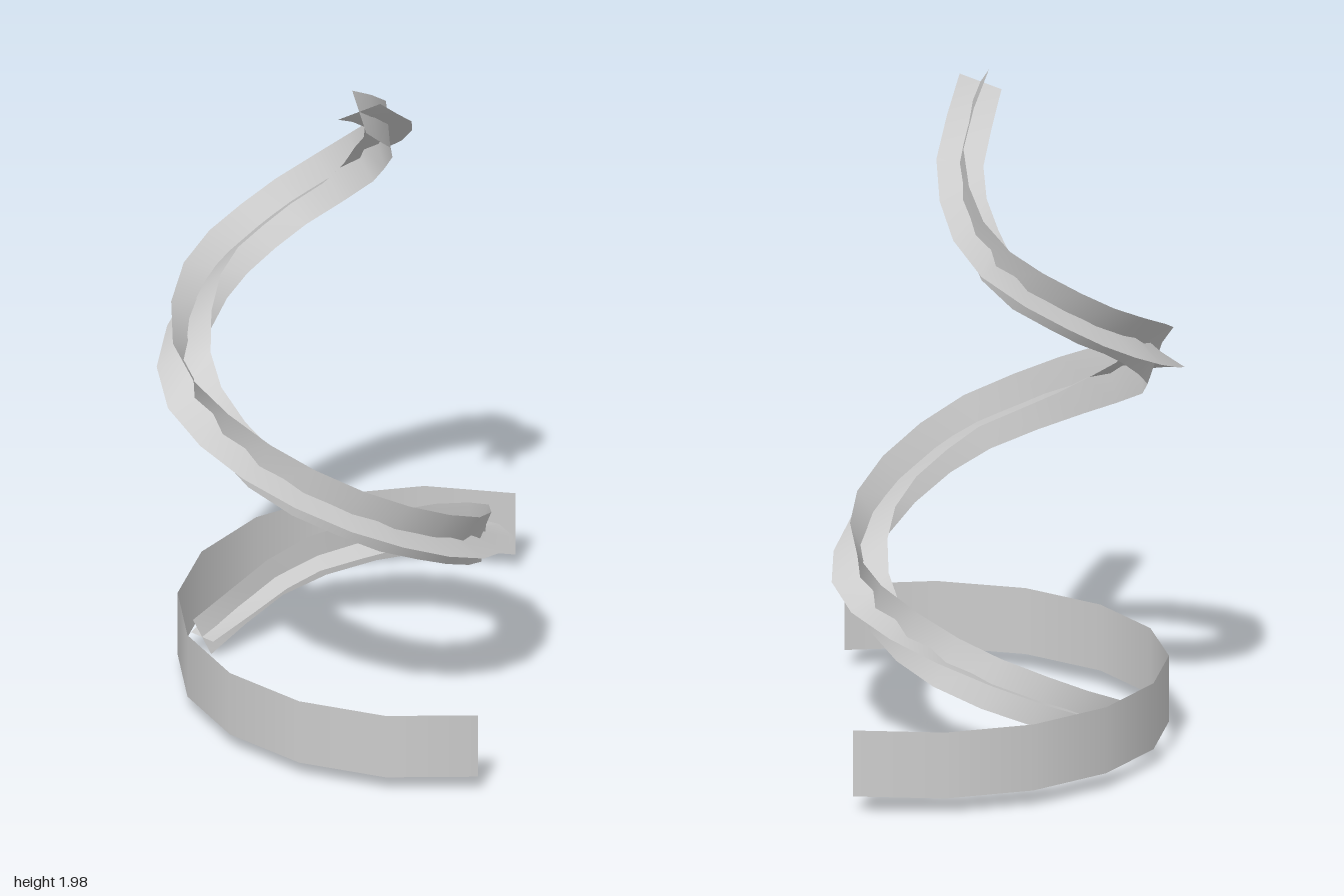
import * as THREE from 'three';

const rad = THREE.MathUtils.degToRad;

// Centreline of the rising spiral: x, y, z, roll in degrees (positive tips the top outward), half width
const STATIONS = [
  [-0.517, 0.067, 0.195, 12, 0.063],
  [-0.38, 0.2, -0.105, -6, 0.073],
  [-0.07, 0.335, -0.23, -16, 0.08],
  [0.24, 0.47, -0.11, 4, 0.083],
  [0.357, 0.61, 0.2, 24, 0.085],
  [0.235, 0.775, 0.505, 12, 0.087],
  [-0.08, 0.93, 0.623, 2, 0.089],
  [-0.39, 1.08, 0.505, 18, 0.084],
  [-0.503, 1.235, 0.2, 40, 0.085],
  [-0.415, 1.365, -0.04, 30, 0.08],
  [-0.205, 1.54, -0.178, 13, 0.078],
  [-0.035, 1.735, -0.055, -8, 0.07],
  [0.037, 1.945, 0.247, -28, 0.066],
];
const SEGMENTS = 30;

const path = new THREE.CatmullRomCurve3(
  STATIONS.map(([x, y, z]) => new THREE.Vector3(x, y, z)), false, 'centripetal');
// Roll and half width, smoothed along the same stations
const section = new THREE.CatmullRomCurve3(
  STATIONS.map(([, , , roll, width]) => new THREE.Vector3(rad(roll), width, 0)), false, 'catmullrom');

// Sweeps a flat ribbon along the spiral, turned about the centreline by the given angle
function ribbon(turn) {
  const up = new THREE.Vector3(0, 1, 0);
  const positions = [];
  const indices = [];
  for (let i = 0; i <= SEGMENTS; i++) {
    const t = i / SEGMENTS;
    const p = path.getPoint(t);
    const tangent = path.getTangent(t);
    const { x: roll, y: width } = section.getPoint(t);
    const outward = up.clone().cross(tangent).normalize();
    const arm = tangent.clone().cross(outward).normalize()
      .multiplyScalar(Math.cos(roll + turn))
      .addScaledVector(outward, Math.sin(roll + turn));
    for (const side of [-1, 1]) {
      positions.push(...p.clone().addScaledVector(arm, side * width).toArray());
    }
    if (i < SEGMENTS) {
      const a = i * 2;
      indices.push(a, a + 1, a + 2, a + 1, a + 3, a + 2);
    }
  }
  const geometry = new THREE.BufferGeometry();
  geometry.setAttribute('position', new THREE.Float32BufferAttribute(positions, 3));
  geometry.setIndex(indices);
  geometry.computeVertexNormals();
  return geometry;
}

export function createModel() {
  const model = new THREE.Group();
  model.name = 'spiralOnOpenRing';
  const material = new THREE.MeshStandardMaterial({ color: 0xcccccc, side: THREE.DoubleSide });

  function add(name, geometry, parent) {
    const mesh = new THREE.Mesh(geometry, material);
    mesh.name = name;
    parent.add(mesh);
    return mesh;
  }

  // Spiral with a cross-shaped section, made of two crossing ribbons
  const spiral = new THREE.Group();
  spiral.name = 'spiral';
  model.add(spiral);
  add('uprightRibbon', ribbon(0), spiral);
  add('flatRibbon', ribbon(Math.PI / 2), spiral);

  // Thin open band around the foot of the spiral
  const band = add('baseBand',
    new THREE.CylinderGeometry(0.725, 0.725, 0.2, 10, 1, true, rad(-170.5), rad(212)), model);
  band.position.set(0.123, 0.16, 0);

  return model;
}
